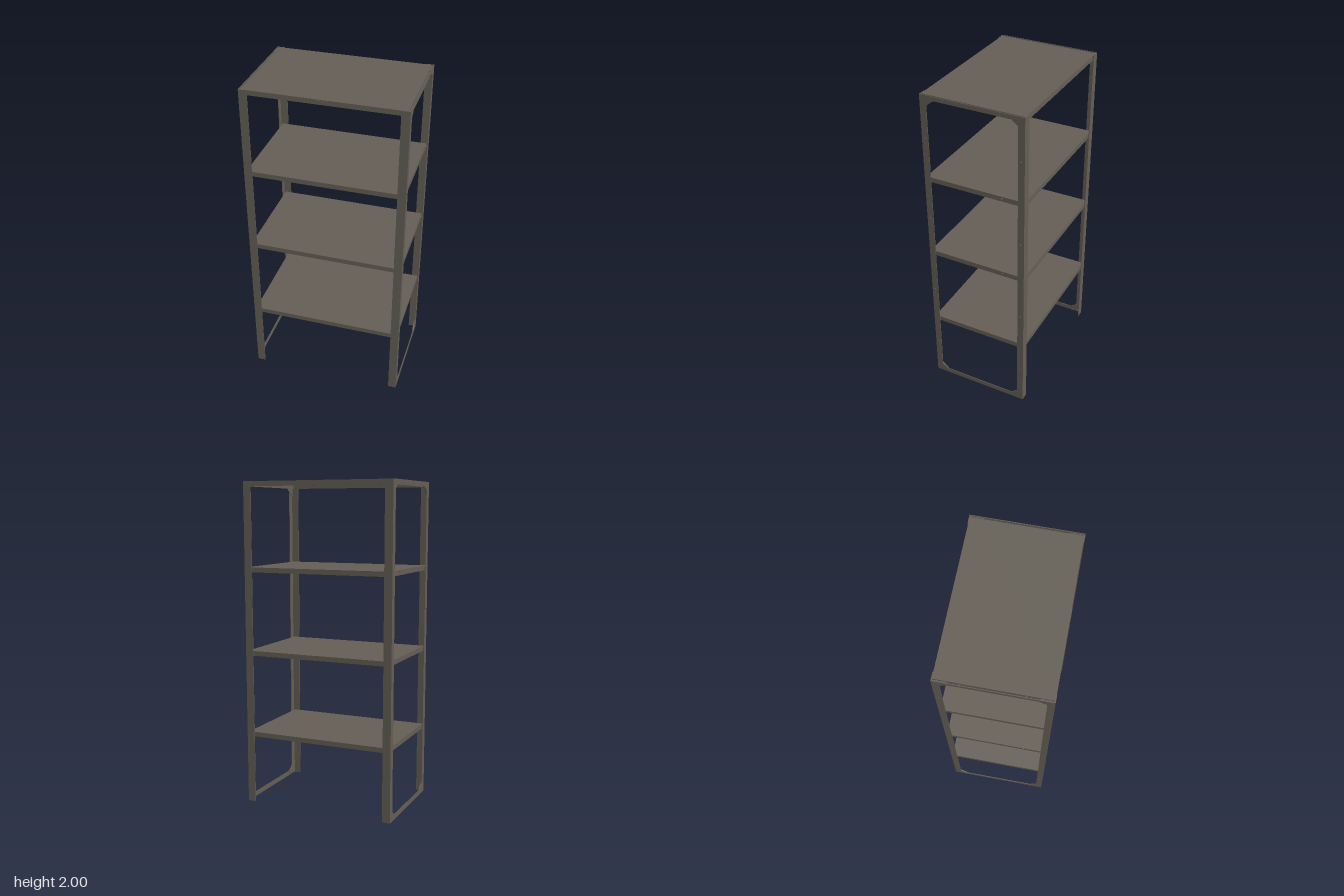
import * as THREE from 'three';

const H = 2, HX = 0.48, HZ = 0.315;      // overall height and half sizes
const T = 0.004;                         // sheet thickness
const SHELF_X = 0.467, SHELF_Z = 0.311;  // half sizes of a shelf
const LIP = 0.03;
const SHELF_TOPS = [0.455, 0.97, 1.485, 1.999];

export function createModel() {
  const root = new THREE.Group();
  root.name = 'shelvingUnit';
  const steel = new THREE.MeshStandardMaterial({ color: 0x645e55 });
  steel.name = 'grey brown steel';

  const add = (parent, name, geo, x = 0, y = 0, z = 0) => {
    const m = new THREE.Mesh(geo, steel);
    m.name = name;
    m.position.set(x, y, z);
    parent.add(m);
    return m;
  };
  const box = (parent, name, w, h, d, x, y, z) =>
    add(parent, name, new THREE.BoxGeometry(w, h, d), x, y, z);
  const poly = (pts, Type = THREE.Shape) =>
    new Type(pts.map(([a, b]) => new THREE.Vector2(a, b)));
  const hole = (z, y, r = 0.0045) => {
    const p = new THREE.Path();
    p.absarc(z, y, r, 0, Math.PI * 2, true);
    return p;
  };
  // Sheet drawn in the z-y plane, centred on its thickness in x
  const sideSheet = (shape, t = T) => {
    const g = new THREE.ExtrudeGeometry(shape, { depth: t, bevelEnabled: false, curveSegments: 6 });
    g.translate(0, 0, -t / 2);
    return g.rotateY(-Math.PI / 2);
  };

  // Side frame: two post flanges, top and bottom rails, chamfered inner corners
  const inZ = 0.275, cutZ = 0.235, lowY = 0.03, highY = 1.975, c = 0.03;
  const frame = poly([[-HZ, 0], [HZ, 0], [HZ, H], [-HZ, H]]);
  frame.holes.push(poly([
    [-cutZ, lowY], [-inZ, lowY + c], [-inZ, highY - c], [-cutZ, highY],
    [cutZ, highY], [inZ, highY - c], [inZ, lowY + c], [cutZ, lowY],
  ], THREE.Path));
  for (const s of [-1, 1]) {
    for (const y of [0.255, 0.685, 1.21, 1.74]) frame.holes.push(hole(s * 0.295, y));
    frame.holes.push(hole(s * 0.17, 1.987));
  }
  const frameGeo = sideSheet(frame);

  // Corner bracket sitting between the frame and the shelf ends
  const gusset = poly([[HZ - T, 0.004], [HZ - T, 0.085], [inZ, 0.06], [cutZ, lowY], [cutZ, 0.004]]);
  const gussetGeo = sideSheet(gusset);
  const boltGeo = new THREE.CylinderGeometry(0.006, 0.006, 0.012, 8).rotateZ(Math.PI / 2);

  for (const sx of [-1, 1]) {
    const side = new THREE.Group();
    side.name = sx > 0 ? 'leftSideFrame' : 'rightSideFrame';
    root.add(side);
    add(side, 'sideFrame', frameGeo, sx * (HX - T / 2));
    for (const sz of [-1, 1]) {
      box(side, 'postFlange', 0.05, H, T, sx * (HX - 0.025), H / 2, sz * (HZ - T / 2));
      for (const top of [false, true]) {
        const g = add(side, 'cornerBracket', gussetGeo, sx * 0.473, top ? H : 0, 0);
        // Half turns keep the faces pointing outwards
        if (top) g.rotation.x = Math.PI;
        if ((sz < 0) !== top) g.rotation.y = Math.PI;
        for (const z of [0.25, 0.29])
          add(side, 'bolt', boltGeo, sx * 0.473, top ? H - 0.014 : 0.014, sz * z);
      }
      for (const y of SHELF_TOPS.slice(0, 3))
        add(side, 'bolt', boltGeo, sx * 0.473, y - LIP / 2, sz * 0.295);
    }
  }

  // Shelves: open-bottomed trays with drilled end lips
  const end = poly([[-SHELF_Z, -LIP], [SHELF_Z, -LIP], [SHELF_Z, 0], [-SHELF_Z, 0]]);
  for (const s of [-1, 1]) end.holes.push(hole(s * 0.17, -0.013));
  const endGeo = sideSheet(end);
  SHELF_TOPS.forEach((y, i) => {
    const shelf = new THREE.Group();
    shelf.name = 'shelf' + (i + 1);
    shelf.position.y = y;
    root.add(shelf);
    box(shelf, 'shelfTop', 2 * (SHELF_X - T), T, 2 * (SHELF_Z - T), 0, -T / 2, 0);
    for (const s of [-1, 1]) {
      box(shelf, 'longLip', 2 * (SHELF_X - T), LIP, T, 0, -LIP / 2, s * (SHELF_Z - T / 2));
      add(shelf, 'endLip', endGeo, s * (SHELF_X - T / 2));
    }
  });

  // Small plain plate on the top shelf's front edge
  box(root, 'frontPlate', 0.08, 0.02, 0.003, 0, 1.984, SHELF_Z + 0.0015);
  return root;
}
